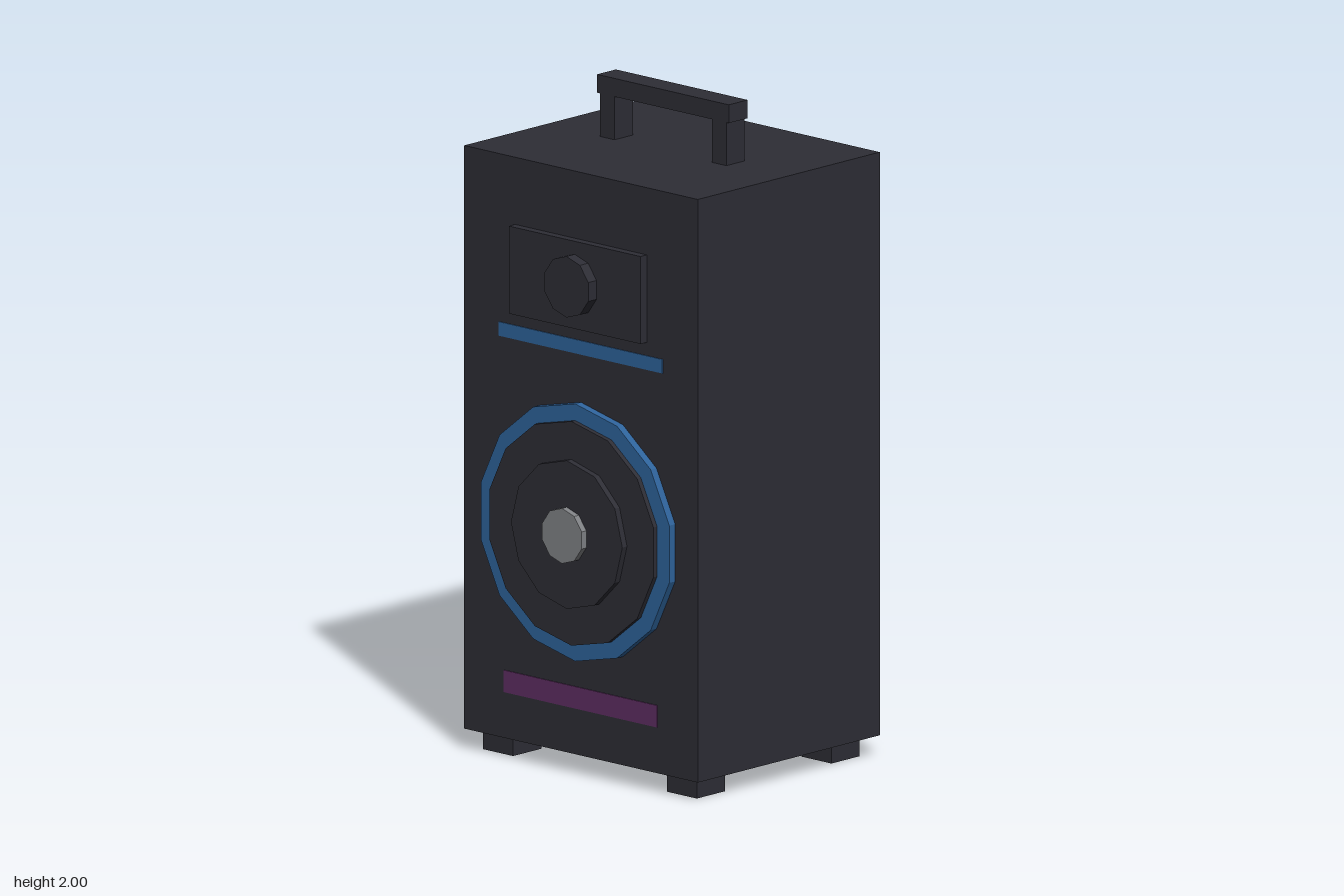
import * as THREE from 'three';

const material = (name, color) => {
  const m = new THREE.MeshStandardMaterial({ color, flatShading: true });
  m.name = name;
  return m;
};

export function createModel() {
  const dark = material('charcoal', 0x2d2d35);
  const blue = material('blue', 0x2e639b);
  const purple = material('purple', 0x5e2d62);
  const grey = material('grey', 0x808285);
  const model = new THREE.Group();
  model.name = 'speaker';

  // box given by its limits on each axis
  const box = (name, mat, [x0, x1], [y0, y1], [z0, z1]) => {
    const mesh = new THREE.Mesh(new THREE.BoxGeometry(x1 - x0, y1 - y0, z1 - z0), mat);
    mesh.position.set((x0 + x1) / 2, (y0 + y1) / 2, (z0 + z1) / 2);
    mesh.name = name;
    model.add(mesh);
  };

  // faceted disc facing forward
  const disc = (name, mat, radius, sides, y, z0, z1) => {
    const geometry = new THREE.CylinderGeometry(radius, radius, z1 - z0, sides).rotateX(Math.PI / 2);
    const mesh = new THREE.Mesh(geometry, mat);
    mesh.position.set(0, y, (z0 + z1) / 2);
    mesh.name = name;
    model.add(mesh);
  };

  const front = 0.346;
  box('cabinet', dark, [-0.468, 0.468], [0.062, 1.815], [-0.427, front]);

  // feet and handle posts
  for (const [side, s] of [['left', 1], ['right', -1]]) {
    const span = (a, b) => (s > 0 ? [a, b] : [-b, -a]);
    box(side + 'FrontFoot', dark, span(0.308, 0.428), [0, 0.062], [0.188, 0.308]);
    box(side + 'BackFoot', dark, span(0.308, 0.428), [0, 0.062], [-0.384, -0.264]);
    box(side + 'HandlePost', dark, span(0.195, 0.253), [1.815, 1.945], [-0.081, -0.003]);
  }
  box('handleBar', dark, [-0.264, 0.264], [1.945, 2], [-0.082, -0.002]);

  // tweeter
  box('tweeterPlate', dark, [-0.264, 0.264], [1.35, 1.613], [front, 0.373]);
  disc('tweeterDome', dark, 0.092, 10, 1.482, 0.373, 0.408);

  // woofer, stacked from the cabinet forward
  const wooferY = 0.737;
  disc('wooferRing', blue, 0.387, 14, wooferY, front, 0.371);
  disc('wooferSurround', dark, 0.337, 14, wooferY, 0.371, 0.387);
  disc('wooferCone', dark, 0.223, 12, wooferY, 0.387, 0.407);
  disc('wooferCap', grey, 0.083, 10, wooferY, 0.407, 0.427);

  // painted stripes
  box('upperStripe', blue, [-0.328, 0.328], [1.268, 1.31], [front, front + 0.003]);
  box('lowerStripe', purple, [-0.307, 0.307], [0.2, 0.266], [front, front + 0.003]);

  return model;
}
